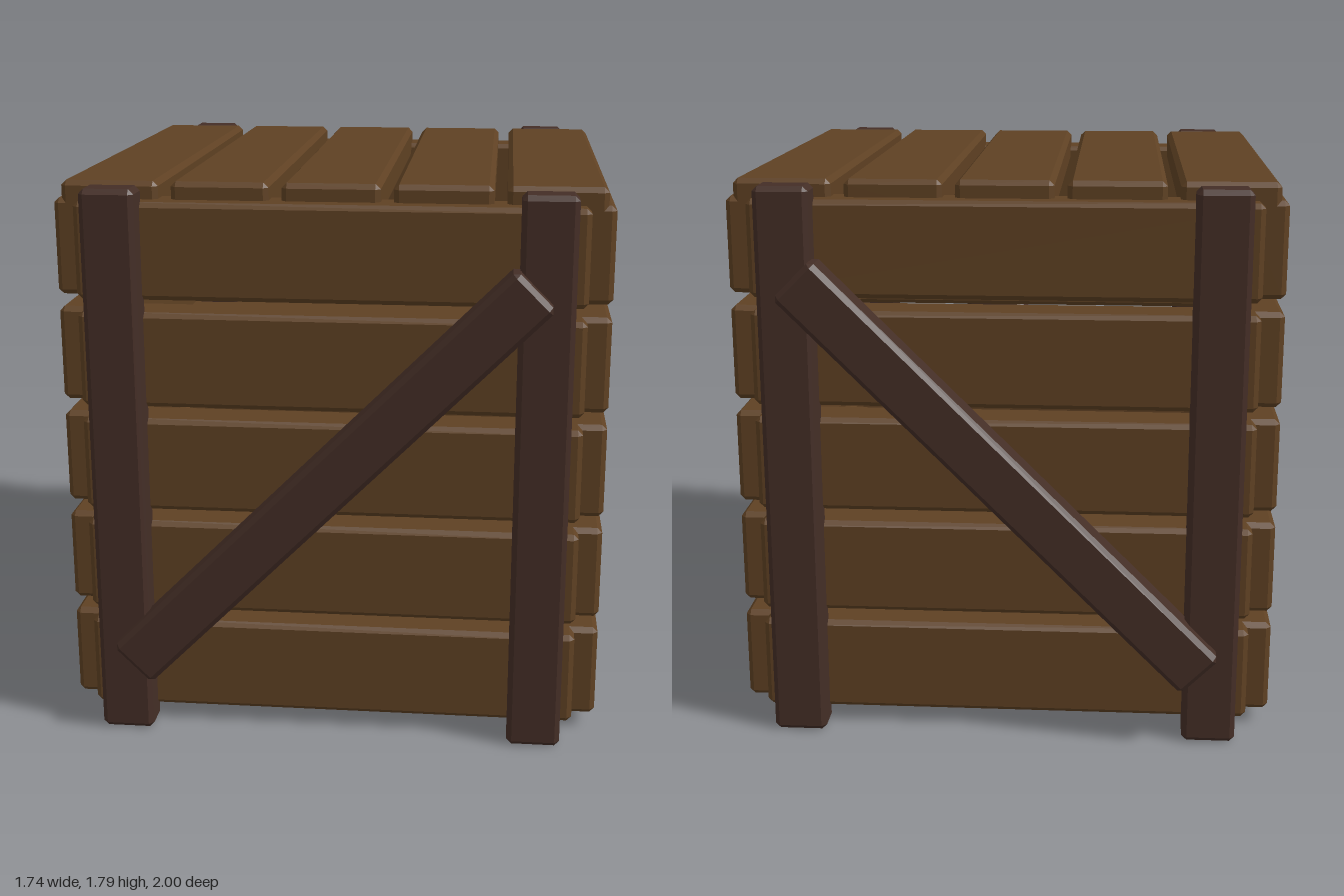
import * as THREE from 'three';
import { ConvexGeometry } from 'three/addons/geometries/ConvexGeometry.js';

// Box with every edge chamfered by c
function chamferBox(w, h, d, c) {
  const pts = [];
  for (const x of [-w / 2, w / 2])
    for (const y of [-h / 2, h / 2])
      for (const z of [-d / 2, d / 2])
        for (const keep of [0, 1, 2]) {
          const p = [x, y, z].map((v, i) => (i === keep ? v : v - Math.sign(v) * c));
          pts.push(new THREE.Vector3(...p));
        }
  return new ConvexGeometry(pts);
}

export function createModel() {
  const crate = new THREE.Group();
  crate.name = 'crate';
  const plankWood = new THREE.MeshStandardMaterial({ color: 0x5f4123 });
  plankWood.name = 'plank wood';
  const frameWood = new THREE.MeshStandardMaterial({ color: 0x442e26 });
  frameWood.name = 'dark frame wood';

  const add = (name, geometry, material, x, y, z) => {
    const mesh = new THREE.Mesh(geometry, material);
    mesh.name = name;
    mesh.position.set(x, y, z);
    crate.add(mesh);
    return mesh;
  };

  const wallPlank = chamferBox(1.58, 0.305, 0.155, 0.016);
  const sidePlank = chamferBox(0.155, 0.305, 1.6, 0.016);
  const topPlank = chamferBox(0.305, 0.11, 1.6, 0.016);
  const post = chamferBox(0.17, 1.785, 0.115, 0.016);

  for (let i = 0; i < 5; i++) {
    // Slatted walls, five planks each; the bottom is open
    const y = 0.2025 + i * 0.345;
    add('frontPlank', wallPlank, plankWood, 0, y, 0.79);
    add('backPlank', wallPlank, plankWood, 0, y, -0.79);
    add('leftPlank', sidePlank, plankWood, 0.79, y, 0);
    add('rightPlank', sidePlank, plankWood, -0.79, y, 0);
    // Lid planks
    add('topPlank', topPlank, plankWood, (i - 2) * 0.345, 1.735, 0);
  }

  // Upright posts and a diagonal brace on the front and back
  for (const s of [1, -1]) {
    for (const x of [-0.665, 0.665]) add('cornerPost', post, frameWood, x, 0.8925, s * 0.888);
    const brace = add('diagonalBrace', post, frameWood, 0, 0.88, s * 0.9425);
    brace.rotation.z = -Math.PI / 4;
  }
  return crate;
}
